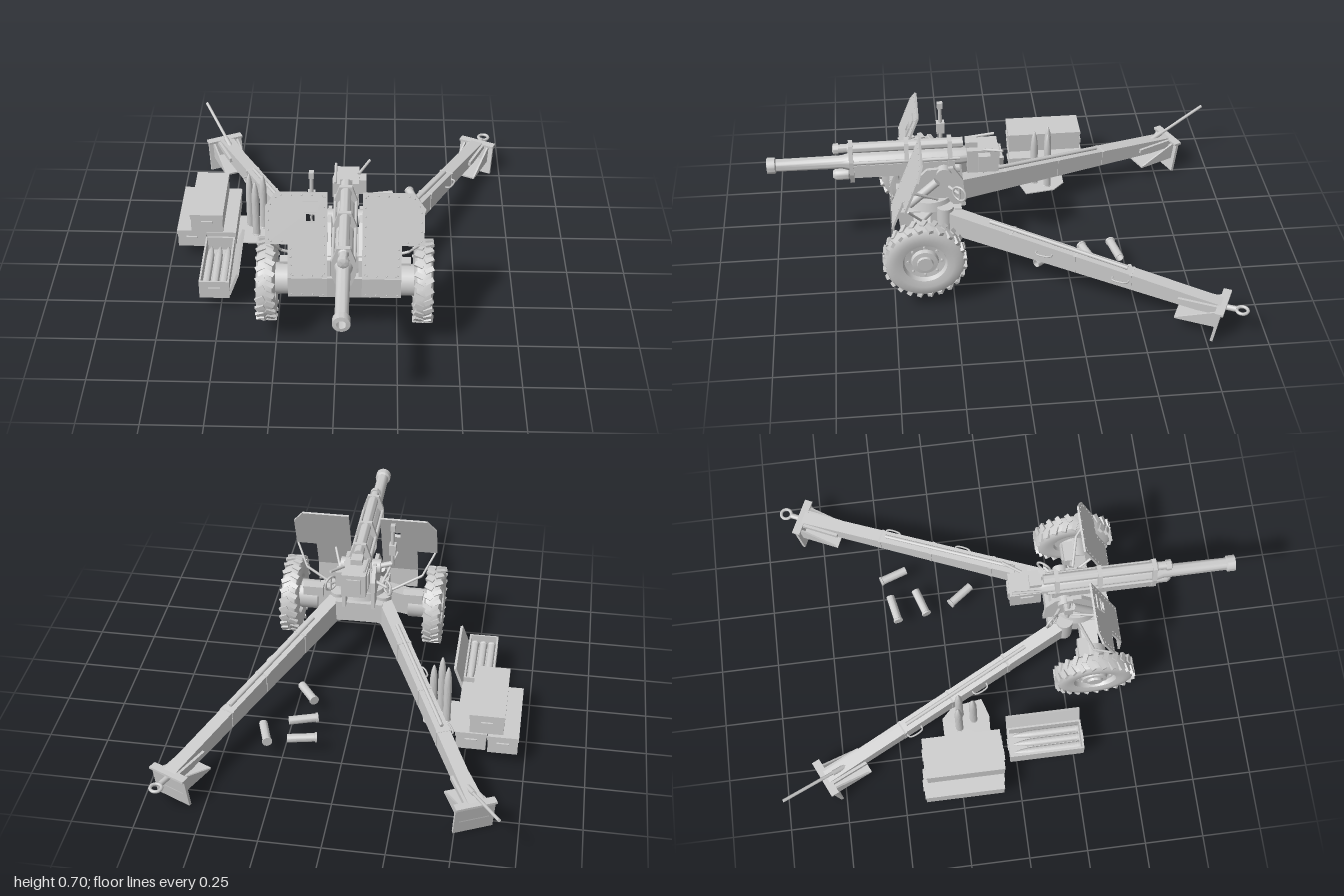
import * as THREE from 'three';
import { mergeGeometries, toCreasedNormals } from 'three/addons/utils/BufferGeometryUtils.js';

const steel = new THREE.MeshStandardMaterial({ color: 0xcccccc, side: THREE.DoubleSide });
steel.name = 'plain grey';
const V = (x, y, z) => new THREE.Vector3(x, y, z);

function add(parent, name, geo, x = 0, y = 0, z = 0) {
  const m = new THREE.Mesh(geo, steel);
  m.name = name;
  m.position.set(x, y, z);
  parent.add(m);
  return m;
}
function group(parent, name, x = 0, y = 0, z = 0) {
  const g = new THREE.Group();
  g.name = name;
  g.position.set(x, y, z);
  parent.add(g);
  return g;
}
const box = (w, h, d) => new THREE.BoxGeometry(w, h, d);
const lathe = (pts, n = 24) =>
  toCreasedNormals(new THREE.LatheGeometry(pts.map(p => new THREE.Vector2(p[0], p[1])), n), 0.6);
const shape = pts => new THREE.Shape(pts.map(p => new THREE.Vector2(p[0], p[1])));
const plate = (s, t) => new THREE.ExtrudeGeometry(s, { depth: t, bevelEnabled: false }).translate(0, 0, -t / 2);
// side profile given as [z, y], widened along x
const side = (pts, w) => plate(shape(pts.map(p => [-p[0], p[1]])), w).rotateY(Math.PI / 2);
// round bar between two points
function bar(parent, name, a, b, r, n = 10) {
  const m = add(parent, name, new THREE.CylinderGeometry(r, r, a.distanceTo(b), n));
  m.position.copy(a).lerp(b, 0.5);
  m.quaternion.setFromUnitVectors(V(0, 1, 0), b.clone().sub(a).normalize());
  return m;
}
// turned part along z: pairs of [radius, z] with z rising
const turnedZ = (pts, n = 24) => lathe(pts, n).rotateX(Math.PI / 2);

function buildWheel(gun, s) {
  const w = group(gun, s > 0 ? 'leftWheel' : 'rightWheel', s * 0.32, 0.232, 0.37);
  w.rotation.z = -s * Math.PI / 2;
  add(w, 'tyreAndRim', lathe([[0, -0.02], [0.085, -0.02], [0.09, -0.033], [0.12, -0.039], [0.15, -0.037],
    [0.164, -0.028], [0.168, 0], [0.164, 0.028], [0.15, 0.037], [0.12, 0.039], [0.092, 0.033], [0.085, 0.014],
    [0.057, 0.01], [0.053, 0.028], [0.034, 0.03], [0.031, 0.04], [0, 0.04]], 40));
  const blocks = [];
  for (let i = 0; i < 24; i++) for (const k of [-1, 1])
    blocks.push(box(0.014, 0.038, 0.02).rotateX(k * 0.45).translate(0.166, k * 0.02, 0)
      .rotateY((i + (k > 0 ? 0.5 : 0)) * Math.PI / 12));
  add(w, 'tread', mergeGeometries(blocks));
  for (let i = 0; i < 8; i++) {
    const a = i * Math.PI / 4;
    add(w, 'wheelNut', new THREE.CylinderGeometry(0.006, 0.006, 0.01, 6), 0.07 * Math.cos(a), 0.016, 0.07 * Math.sin(a));
  }
}

function buildShield(gun, s) {
  const g = group(gun, s > 0 ? 'leftShield' : 'rightShield', 0, 0.333, 0.492);
  // sloped upper plate, narrow at the foot and clipped at the top corner
  const upper = group(g, 'slopedPlate');
  upper.rotation.x = -0.365;
  const outline = [[0.07, 0], [0.228, 0], [0.228, 0.14], [0.317, 0.14], [0.317, 0.297], [0.275, 0.355], [0.07, 0.355]]
    .map(p => [s * p[0], p[1]]);
  const sh = shape(outline);
  if (s < 0) {
    sh.holes.push(shape([[-0.155, 0.235], [-0.121, 0.235], [-0.121, 0.267], [-0.155, 0.267]]));
    for (const k of [-1, 1]) {
      add(upper, 'windowFrame', box(0.05, 0.007, 0.012), -0.138, 0.251 + k * 0.02, 0.006);
      add(upper, 'windowFrame', box(0.007, 0.046, 0.012), -0.138 + k * 0.022, 0.251, 0.006);
    }
    add(upper, 'windowFlap', box(0.062, 0.035, 0.008), -0.138, 0.3, 0.006);
  }
  add(upper, 'upperShield', plate(sh, 0.009));
  add(g, 'lowerShield', box(0.158, 0.093, 0.009), s * 0.149, -0.046, 0);
  // rivets along the edges
  const rivets = [];
  outline.forEach((p, i) => {
    const q = outline[(i + 1) % outline.length], len = Math.hypot(q[0] - p[0], q[1] - p[1]);
    const n = Math.max(1, Math.round(len / 0.04));
    for (let j = 0; j < n; j++) {
      const t = (j + 0.5) / n, k = 0.012 / len * s;
      rivets.push(new THREE.SphereGeometry(0.0035, 6, 4).translate(p[0] + (q[0] - p[0]) * t - (q[1] - p[1]) * k,
        p[1] + (q[1] - p[1]) * t + (q[0] - p[0]) * k, 0.005));
    }
  });
  add(upper, 'rivets', mergeGeometries(rivets));
  for (let i = 0; i < 4; i++)
    add(g, 'lowerRivet', new THREE.SphereGeometry(0.0035, 6, 4), s * (0.085 + i * 0.043), -0.08, 0.005);
  bar(gun, 'shieldBrace', V(s * 0.31, 0.468, 0.43), V(s * 0.26, 0.38, 0.37), 0.005);
  bar(gun, 'shieldBrace', V(s * 0.26, 0.38, 0.37), V(s * 0.1, 0.3, 0.33), 0.006);
  bar(gun, 'shieldStay', V(s * 0.14, 0.45, 0.44), V(s * 0.085, 0.36, 0.3), 0.006);
}

function buildTrail(gun, s) {
  const t = group(gun, s > 0 ? 'leftTrail' : 'rightTrail', s * 0.1, 0, 0.27);
  t.rotation.y = -s * 0.436;
  const top = z => 0.323 + z * 0.146;
  add(t, 'trailBeam', side([[-0.03, 0.318], [-1.2, 0.148], [-1.2, 0.098], [-1.1, 0.098], [-0.03, 0.213]], 0.056));
  add(t, 'hingePost', new THREE.CylinderGeometry(0.036, 0.036, 0.14, 20), 0, 0.265, 0);
  for (const z of [-0.3, -0.58, -0.82]) {
    const h = 0.104 + z * 0.042;
    add(t, 'trailBand', box(0.062, h, 0.012), 0, top(z) - h / 2, z);
  }
  bar(t, 'stowedRod', V(0, top(-0.2) + 0.008, -0.2), V(0, top(-0.8) + 0.008, -0.8), 0.008);
  for (const z of [-0.45, -0.78]) {
    const y = top(z) - 0.035, x = s * 0.028;
    add(t, 'grabHandle', new THREE.TubeGeometry(new THREE.CatmullRomCurve3([V(x, y, z + 0.035),
      V(x + s * 0.018, y, z + 0.03), V(x + s * 0.018, y, z - 0.03), V(x, y, z - 0.035)]), 16, 0.004, 6));
  }
  // ground spade with its floor and gussets
  const blade = add(t, 'spadeBlade', box(0.165, 0.145, 0.012), 0, 0.071, -1.195);
  blade.rotation.x = -0.15;
  add(t, 'spadeLip', box(0.17, 0.01, 0.035), 0, 0.143, -1.205);
  for (const k of [-1, 1]) {
    add(t, 'spadeGusset', side([[-1.02, 0.063], [-1.2, 0.14], [-1.19, 0.063]], 0.008), k * 0.058, 0, 0);
    add(t, 'spadeRib', box(0.012, 0.02, 0.17), k * 0.034, 0.135, -1.11);
  }
  add(t, 'spadeFloor', box(0.124, 0.008, 0.18), 0, 0.063, -1.11);
  if (s > 0) {
    bar(t, 'towStem', V(0, 0.125, -1.17), V(0, 0.125, -1.26), 0.012);
    add(t, 'towEye', new THREE.TorusGeometry(0.023, 0.007, 8, 24).rotateX(Math.PI / 2), 0, 0.125, -1.285);
  } else {
    bar(t, 'handspike', V(0, 0.145, -1.09), V(-0.015, 0.235, -1.405), 0.007);
    bar(t, 'handspikeSocket', V(0, 0.14, -1.07), V(-0.005, 0.168, -1.17), 0.011);
  }
}

function buildBarrel(gun) {
  const g = group(gun, 'barrelAssembly');
  add(g, 'barrel', turnedZ([[0.03, 0.15], [0.036, 0.2], [0.036, 0.66], [0.028, 0.69], [0.026, 0.96], [0.034, 0.965],
    [0.034, 0.998], [0.018, 1], [0.017, 0.9], [0, 0.9]], 32), 0, 0.518, 0);
  add(g, 'recuperator', turnedZ([[0, 0.185], [0.022, 0.185], [0.022, 0.66], [0.018, 0.665], [0.018, 0.7],
    [0.023, 0.7], [0.023, 0.72], [0.012, 0.725], [0, 0.725]]), 0, 0.585, 0);
  add(g, 'recoilBuffer', turnedZ([[0, 0.2], [0.02, 0.2], [0.02, 0.66], [0.025, 0.665], [0.025, 0.715],
    [0.015, 0.73], [0, 0.73]]), 0, 0.457, 0);
  add(g, 'cradle', box(0.076, 0.06, 0.42), 0, 0.488, 0.43);
  for (const z of [0.24, 0.42, 0.65])
    add(g, 'cradleYoke', plate(shape([[-0.03, 0.43], [0.03, 0.43], [0.048, 0.48], [0.048, 0.54], [0.026, 0.608],
      [-0.026, 0.608], [-0.048, 0.54], [-0.048, 0.48]]), 0.018), 0, 0, z);
  for (const s of [-1, 1]) bar(g, 'cradleRail', V(s * 0.043, 0.535, 0.2), V(s * 0.043, 0.535, 0.64), 0.007);
  // breech
  add(g, 'breechRing', box(0.104, 0.108, 0.13), 0, 0.517, 0.105);
  add(g, 'breechCap', box(0.05, 0.026, 0.05), 0, 0.583, 0.15);
  add(g, 'breechDoor', box(0.008, 0.07, 0.055), -0.054, 0.517, 0.11);
  add(g, 'breechDoor', box(0.06, 0.07, 0.008), 0, 0.517, 0.038);
  add(g, 'breechHinge', box(0.032, 0.07, 0.05), 0.066, 0.525, 0.1);
  bar(g, 'breechLever', V(0.05, 0.575, 0.1), V(0.095, 0.594, 0.025), 0.006);
  bar(g, 'breechLink', V(-0.045, 0.575, 0.17), V(-0.045, 0.59, 0.05), 0.006);
}

function buildCarriage(gun) {
  const g = group(gun, 'carriage');
  add(g, 'lowerCarriage', side([[0.46, 0.21], [0.47, 0.315], [0.2, 0.32], [0.2, 0.225]], 0.21));
  add(g, 'turntable', new THREE.CylinderGeometry(0.105, 0.115, 0.04, 32), 0, 0.335, 0.33);
  add(g, 'saddle', box(0.14, 0.06, 0.2), 0, 0.375, 0.34);
  add(g, 'towBracket', box(0.03, 0.035, 0.02), 0, 0.24, 0.47);
  bar(g, 'axle', V(-0.3, 0.235, 0.37), V(0.3, 0.235, 0.37), 0.034, 20);
  for (const s of [-1, 1]) {
    add(g, 'cheek', side([[0.46, 0.31], [0.45, 0.39], [0.34, 0.5], [0.23, 0.505], [0.19, 0.44], [0.18, 0.31]], 0.016), s * 0.064);
    bar(g, 'trunnion', V(s * 0.05, 0.478, 0.27), V(s * 0.088, 0.478, 0.27), 0.032, 24);
    bar(g, 'brakeDrum', V(s * 0.205, 0.235, 0.37), V(s * 0.285, 0.235, 0.37), 0.065, 28);
    add(g, 'brakeBox', box(0.09, 0.05, 0.045), s * 0.225, 0.285, 0.335);
    add(g, 'axleArm', plate(shape([[s * 0.09, 0.21], [s * 0.22, 0.185], [s * 0.22, 0.285], [s * 0.09, 0.315]]), 0.07), 0, 0, 0.37);
    bar(g, 'balanceSpring', V(s * 0.085, 0.34, 0.42), V(s * 0.085, 0.45, 0.3), 0.018, 16);
    // handwheels beside the gunners
    bar(g, 'handwheelShaft', V(s * 0.07, 0.41, 0.25), V(s * 0.125, 0.41, 0.21), 0.007);
    add(g, 'handwheel', new THREE.TorusGeometry(0.032, 0.005, 8, 24).rotateY(s * 0.9), s * 0.125, 0.41, 0.21);
    bar(g, 'handwheelSpoke', V(s * 0.125, 0.38, 0.21), V(s * 0.125, 0.44, 0.21), 0.004);
  }
  // panoramic sight
  bar(g, 'sightArm', V(-0.07, 0.478, 0.27), V(-0.138, 0.5, 0.27), 0.012);
  bar(g, 'sightPost', V(-0.138, 0.49, 0.27), V(-0.138, 0.67, 0.27), 0.008);
  add(g, 'sightBody', box(0.03, 0.05, 0.035), -0.138, 0.575, 0.27);
  add(g, 'sightHead', box(0.02, 0.027, 0.024), -0.138, 0.683, 0.27);
}

const shellGeo = () => lathe([[0, 0], [0.018, 0], [0.018, 0.008], [0.0165, 0.01], [0.0165, 0.19],
  [0.0155, 0.22], [0.011, 0.255], [0.004, 0.28], [0, 0.285]], 20);

function crate(parent, name, x, y, z, w, h, d, open) {
  const c = group(parent, name, x, y, z);
  if (open) {
    add(c, 'crateFloor', box(w, 0.02, d), 0, 0.01, 0);
    for (const k of [-1, 1]) {
      add(c, 'crateSide', box(0.008, h, d), k * (w / 2 - 0.004), h / 2, 0);
      add(c, 'crateEnd', box(w, h, 0.008), 0, h / 2, k * (d / 2 - 0.004));
    }
  } else {
    add(c, 'crateBody', box(w - 0.006, h, d - 0.006), 0, h / 2, 0);
    add(c, 'crateLid', box(w, 0.02, d), 0, h - 0.01, 0);
  }
  for (const k of [-1, 1]) add(c, 'crateHandle', box(0.05, 0.008, 0.01), 0, h * 0.6, k * d / 2);
  return c;
}

function buildAmmunition(root) {
  const g = group(root, 'ammunition', 0, 0.058, 0);
  crate(g, 'outerCrate', -0.655, 0, -0.24, 0.13, 0.085, 0.34);
  crate(g, 'innerCrate', -0.523, 0, -0.23, 0.13, 0.085, 0.34);
  crate(g, 'topCrate', -0.585, 0.085, -0.228, 0.145, 0.092, 0.335);
  const open = crate(g, 'openCrate', -0.523, 0, 0.13, 0.128, 0.085, 0.32, true);
  for (const x of [-0.037, 0, 0.037]) add(open, 'packedShell', shellGeo().rotateX(-Math.PI / 2), x, 0.045, 0.145);
  const lid = add(open, 'openLid', box(0.012, 0.115, 0.32), 0.083, 0.072, 0);
  lid.rotation.z = -0.35;
  // upright shells on a ground sheet
  add(g, 'groundSheet', plate(shape([[-0.47, 0.1], [-0.37, 0.095], [-0.29, 0.12], [-0.31, 0.25], [-0.36, 0.3], [-0.47, 0.3]]),
    0.005).rotateX(-Math.PI / 2), 0, 0.003, 0);
  for (const [x, z] of [[-0.408, -0.23], [-0.347, -0.222], [-0.377, -0.165]]) add(g, 'uprightShell', shellGeo(), x, 0, z);
  // spent hollow cases
  const spent = [[0.172, -0.455, 0.2], [0.33, -0.444, -1.24], [0.188, -0.333, 0.32], [0.2, -0.155, -0.94]];
  for (const [x, z, a] of spent) {
    const c = add(g, 'spentCase', lathe([[0, -0.062], [0.021, -0.062], [0.021, -0.054], [0.018, -0.052],
      [0.018, 0.062], [0.015, 0.062], [0.015, -0.05], [0, -0.05]], 20).rotateZ(-Math.PI / 2), x, 0.02, z);
    c.rotation.y = a;
  }
}

export function createModel() {
  const root = new THREE.Group();
  root.name = 'fieldGun';
  const gun = group(root, 'gun', 0.032, 0, 0);
  for (const s of [-1, 1]) {
    buildWheel(gun, s);
    buildShield(gun, s);
    buildTrail(gun, s);
  }
  buildCarriage(gun);
  buildBarrel(gun);
  buildAmmunition(root);
  return root;
}
